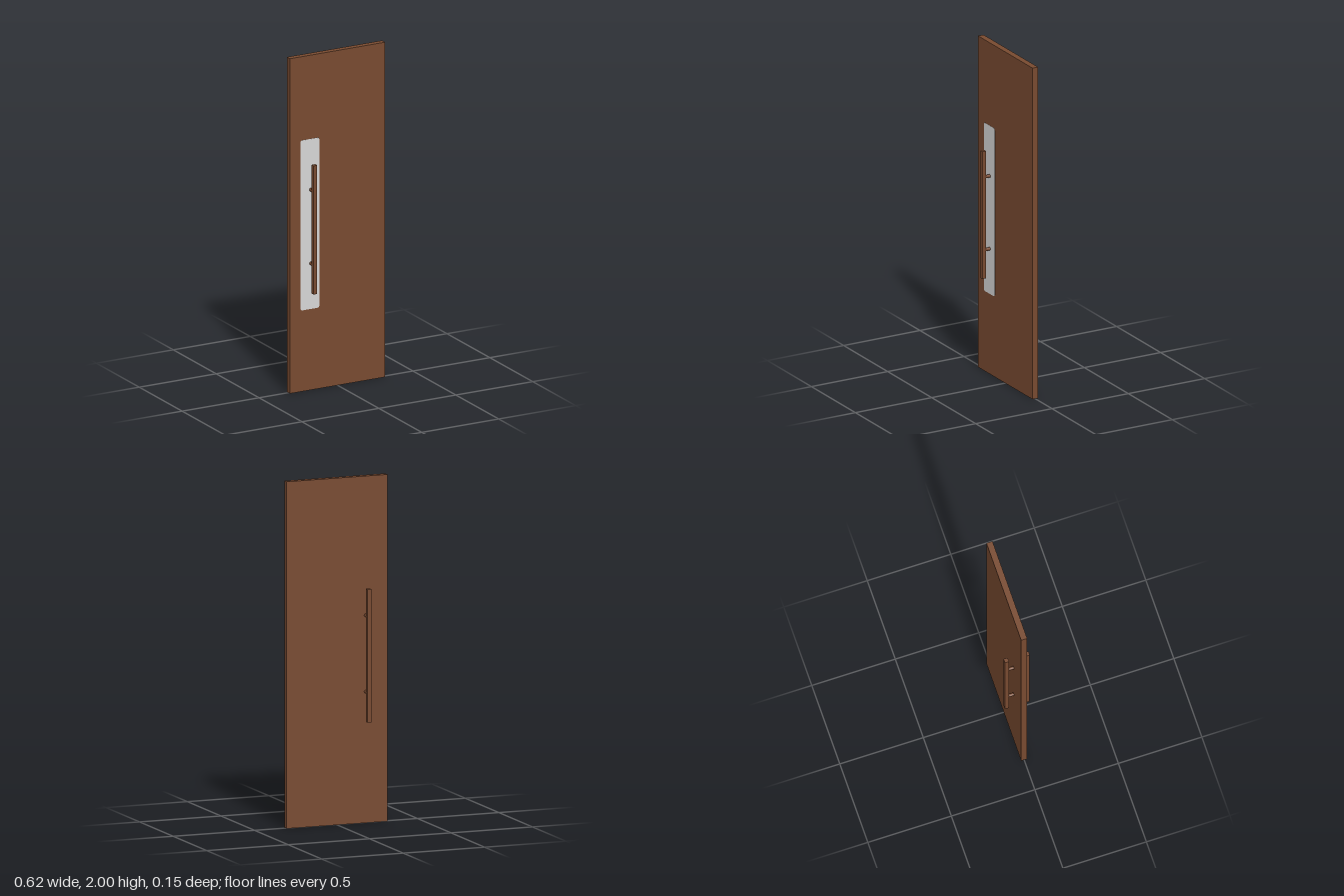
import * as THREE from 'three';

// Rectangle outline with rounded corners, centred on the origin
function roundedRect(w, h, r) {
  const x = w / 2, y = h / 2;
  const s = new THREE.Shape();
  s.moveTo(-x + r, -y);
  s.lineTo(x - r, -y);
  s.quadraticCurveTo(x, -y, x, -y + r);
  s.lineTo(x, y - r);
  s.quadraticCurveTo(x, y, x - r, y);
  s.lineTo(-x + r, y);
  s.quadraticCurveTo(-x, y, -x, y - r);
  s.lineTo(-x, -y + r);
  s.quadraticCurveTo(-x, -y, -x + r, -y);
  return s;
}

export function createModel() {
  const wood = new THREE.MeshStandardMaterial({ name: 'brown wood', color: 0x784a30 });
  const grey = new THREE.MeshStandardMaterial({ name: 'light grey', color: 0xd6d6d6 });

  const model = new THREE.Group();
  model.name = 'door';
  const add = (parent, name, geometry, material, x, y, z) => {
    const mesh = new THREE.Mesh(geometry, material);
    mesh.name = name;
    mesh.position.set(x, y, z);
    parent.add(mesh);
    return mesh;
  };

  const thickness = 0.036, handleX = -0.175;

  // Door leaf
  add(model, 'doorLeaf', new THREE.BoxGeometry(0.62, 2, thickness), wood, 0, 1, 0);

  // Thin backing plate behind the front handle
  const plate = new THREE.ExtrudeGeometry(roundedRect(0.122, 1.016, 0.013),
    { depth: 0.001, bevelEnabled: false, curveSegments: 4 });
  add(model, 'backingPlate', plate, grey, -0.18, 0.992, thickness / 2);

  // Pull handles, one on each face: upright bar on two round posts
  const barBottom = 0.588, barLength = 0.768;
  const barGeometry = new THREE.ExtrudeGeometry(roundedRect(0.025, 0.025, 0.005),
    { depth: barLength, bevelEnabled: false, curveSegments: 4 });
  barGeometry.rotateX(-Math.PI / 2);
  const postGeometry = new THREE.CylinderGeometry(0.0095, 0.0095, 0.038, 20);
  postGeometry.rotateX(Math.PI / 2);

  for (const side of [1, -1]) {
    const handle = new THREE.Group();
    handle.name = side > 0 ? 'frontHandle' : 'backHandle';
    add(handle, 'bar', barGeometry, wood, handleX, barBottom, side * 0.062);
    for (const y of [0.757, 1.197]) {
      add(handle, 'post', postGeometry, wood, handleX, y, side * 0.034);
    }
    model.add(handle);
  }
  return model;
}
